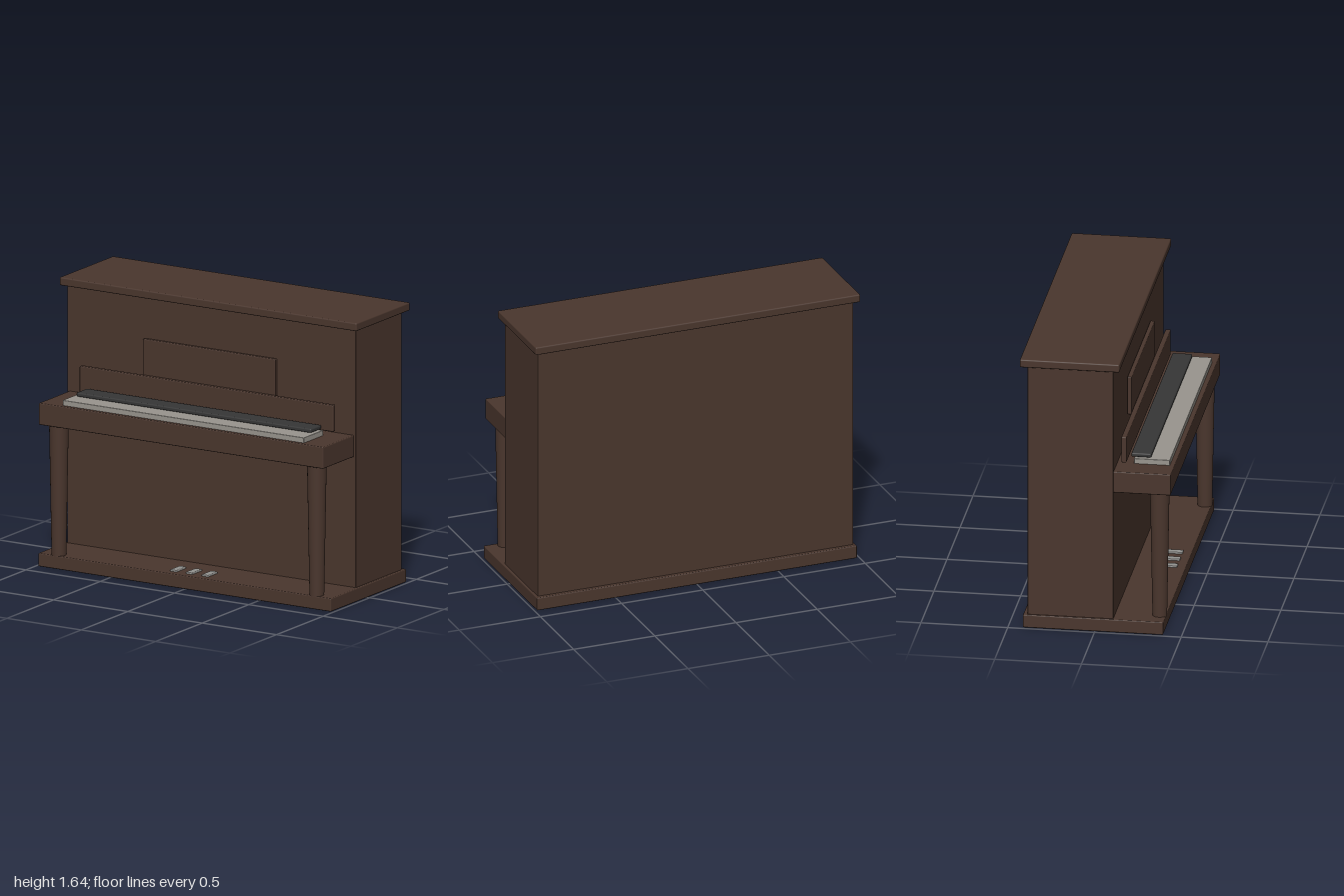
import * as THREE from 'three';
import { RoundedBoxGeometry } from 'three/addons/geometries/RoundedBoxGeometry.js';

function material(name, color) {
  const m = new THREE.MeshStandardMaterial({ color });
  m.name = name;
  return m;
}

export function createModel() {
  const piano = new THREE.Group();
  piano.name = 'uprightPiano';

  const walnut = material('dark walnut', 0x4a362d);
  const ivory = material('ivory', 0x99958e);
  const ebony = material('ebony', 0x363636);
  const steel = material('pedal metal', 0x949390);

  // Softly bevelled block given by its extents, centred on x
  const block = (name, mat, width, [y0, y1], [z0, z1], radius = 0.006, x = 0) => {
    const geo = new RoundedBoxGeometry(width, y1 - y0, z1 - z0, 2, radius);
    const mesh = new THREE.Mesh(geo, mat);
    mesh.name = name;
    mesh.position.set(x, (y0 + y1) / 2, (z0 + z1) / 2);
    piano.add(mesh);
  };

  // Case
  block('base', walnut, 1.97, [0, 0.078], [-0.415, 0.393]);
  block('cabinet', walnut, 1.942, [0.07, 1.605], [-0.39, 0.104], 0.004);
  block('lid', walnut, 2, [1.597, 1.645], [-0.431, 0.143], 0.008);

  // Keyboard shelf and the boards above it
  block('keyBed', walnut, 1.915, [0.845, 0.973], [0.09, 0.432]);
  block('fallboard', walnut, 1.706, [0.99, 1.146], [0.132, 0.162]);
  block('musicDesk', walnut, 0.892, [1.125, 1.355], [0.106, 0.131]);

  // Keys
  block('whiteKeys', ivory, 1.625, [0.97, 1.004], [0.2, 0.407], 0.004);
  block('blackKeys', ebony, 1.58, [1.004, 1.028], [0.181, 0.296], 0.008);

  // Tapered front legs
  for (const side of [-1, 1]) {
    const leg = new THREE.Mesh(new THREE.CylinderGeometry(0.056, 0.042, 0.775, 24), walnut);
    leg.name = side > 0 ? 'leftLeg' : 'rightLeg';
    leg.position.set(side * 0.868, 0.4625, 0.357);
    piano.add(leg);
  }

  // Pedals
  ['rightPedal', 'middlePedal', 'leftPedal'].forEach((name, i) =>
    block(name, steel, 0.045, [0.072, 0.088], [0.24, 0.345], 0.005, (i - 1) * 0.106));

  return piano;
}
